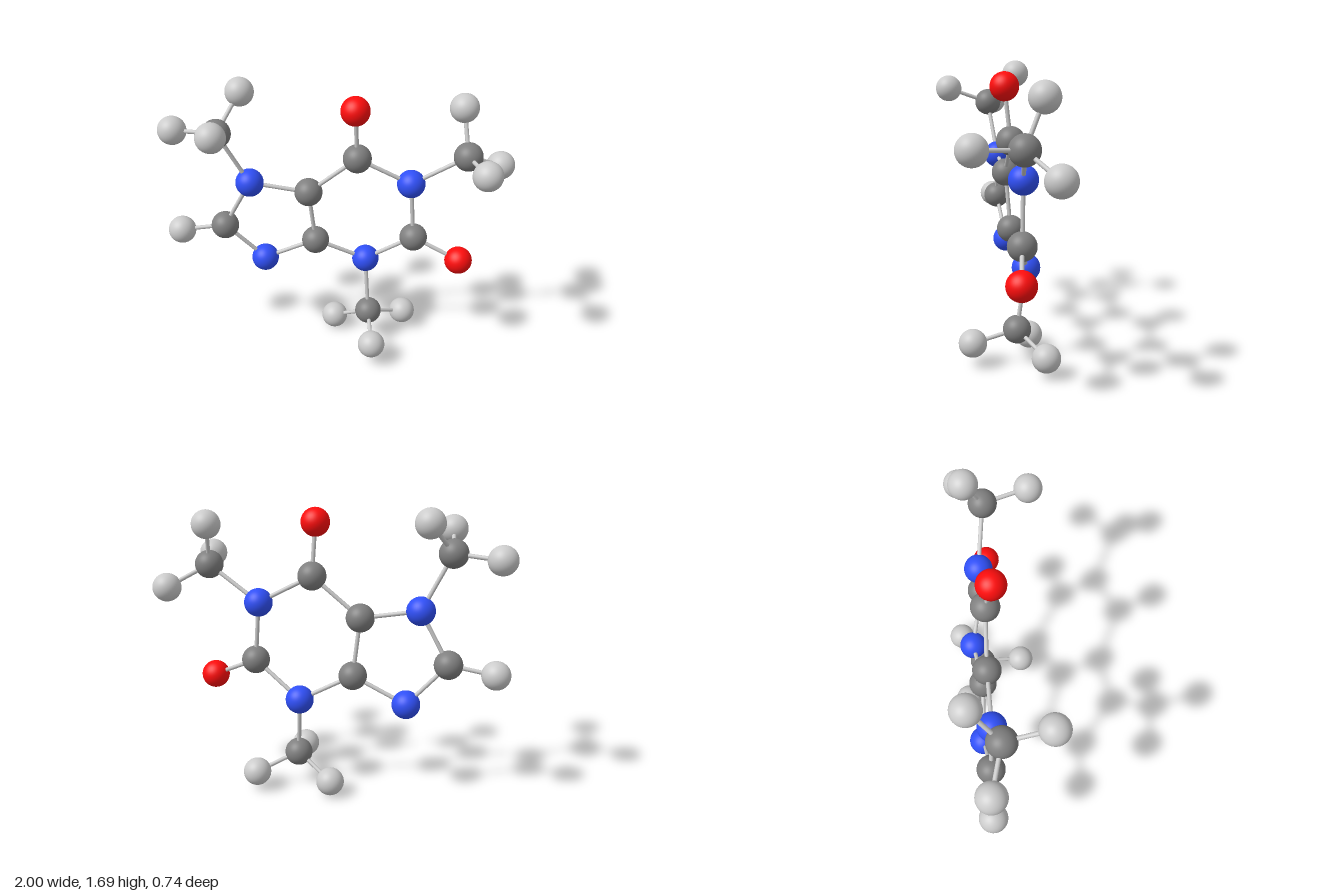
import * as THREE from 'three';

const ATOM_RADIUS = 0.081;
const BOND_RADIUS = 0.012;

const ELEMENTS = {
  C: { name: 'carbon', color: 0x808080 },
  N: { name: 'nitrogen', color: 0x3050f8 },
  O: { name: 'oxygen', color: 0xff0d0d },
  H: { name: 'hydrogen', color: 0xcccccc },
};

// Atom centres; the first letter of each key is the element
const ATOMS = {
  // Six-sided ring
  N1: [0.42, 1.116, -0.14],
  C2: [0.45, 0.767, -0.135],
  N3: [0.165, 0.566, -0.172],
  C4: [-0.13, 0.72, -0.093],
  C5: [-0.162, 1.057, -0.063],
  C6: [0.115, 1.28, -0.083],
  // Five-sided ring
  N7: [-0.495, 1.115, -0.019],
  C8: [-0.66, 0.82, -0.018],
  N9: [-0.44, 0.577, -0.075],
  // Side atoms on the rings
  O2: [0.724, 0.64, -0.12],
  O6: [0.105, 1.576, -0.048],
  H8: [-0.92, 0.78, 0.008],
  // Upper right side group
  C10: [0.725, 1.314, -0.13],
  H10a: [0.682, 1.56, -0.225],
  H10b: [0.825, 1.328, 0.12],
  H10c: [0.916, 1.2, -0.288],
  // Lower side group
  C11: [0.195, 0.206, -0.122],
  H11a: [-0.03, 0.085, -0.203],
  H11b: [0.245, 0.142, 0.13],
  H11c: [0.4, 0.115, -0.276],
  // Upper left side group
  C12: [-0.65, 1.433, 0.039],
  H12a: [-0.553, 1.616, -0.133],
  H12b: [-0.6, 1.522, 0.288],
  H12c: [-0.915, 1.42, 0.003],
};

// Chains of bonded atoms
const CHAINS = [
  'N1 C2 N3 C4 C5 C6 N1',
  'C5 N7 C8 N9 C4',
  'C2 O2', 'C6 O6', 'C8 H8',
  'N1 C10 H10a', 'H10b C10 H10c',
  'N3 C11 H11a', 'H11b C11 H11c',
  'N7 C12 H12a', 'H12b C12 H12c',
];

export function createModel() {
  const model = new THREE.Group();
  model.name = 'molecule';
  const atoms = new THREE.Group();
  atoms.name = 'atoms';
  const bonds = new THREE.Group();
  bonds.name = 'bonds';
  model.add(atoms, bonds);

  // Atom balls
  const ball = new THREE.SphereGeometry(ATOM_RADIUS, 40, 28);
  const materials = {};
  for (const [key, { color }] of Object.entries(ELEMENTS)) {
    materials[key] = new THREE.MeshStandardMaterial({ color });
  }
  for (const [key, position] of Object.entries(ATOMS)) {
    const mesh = new THREE.Mesh(ball, materials[key[0]]);
    mesh.name = `${ELEMENTS[key[0]].name}Atom${key.slice(1)}`;
    mesh.position.set(...position);
    atoms.add(mesh);
  }

  // Rods joining the ball centres
  const rod = new THREE.CylinderGeometry(BOND_RADIUS, BOND_RADIUS, 1, 16, 1, true);
  const rodMaterial = new THREE.MeshStandardMaterial({ color: 0xcccccc });
  const up = new THREE.Vector3(0, 1, 0);
  for (const chain of CHAINS) {
    const keys = chain.split(' ');
    for (let i = 1; i < keys.length; i++) {
      const a = new THREE.Vector3(...ATOMS[keys[i - 1]]);
      const b = new THREE.Vector3(...ATOMS[keys[i]]);
      const mesh = new THREE.Mesh(rod, rodMaterial);
      mesh.name = `bond${keys[i - 1]}to${keys[i]}`;
      mesh.position.copy(a).lerp(b, 0.5);
      mesh.scale.y = a.distanceTo(b);
      mesh.quaternion.setFromUnitVectors(up, b.sub(a).normalize());
      bonds.add(mesh);
    }
  }
  return model;
}
